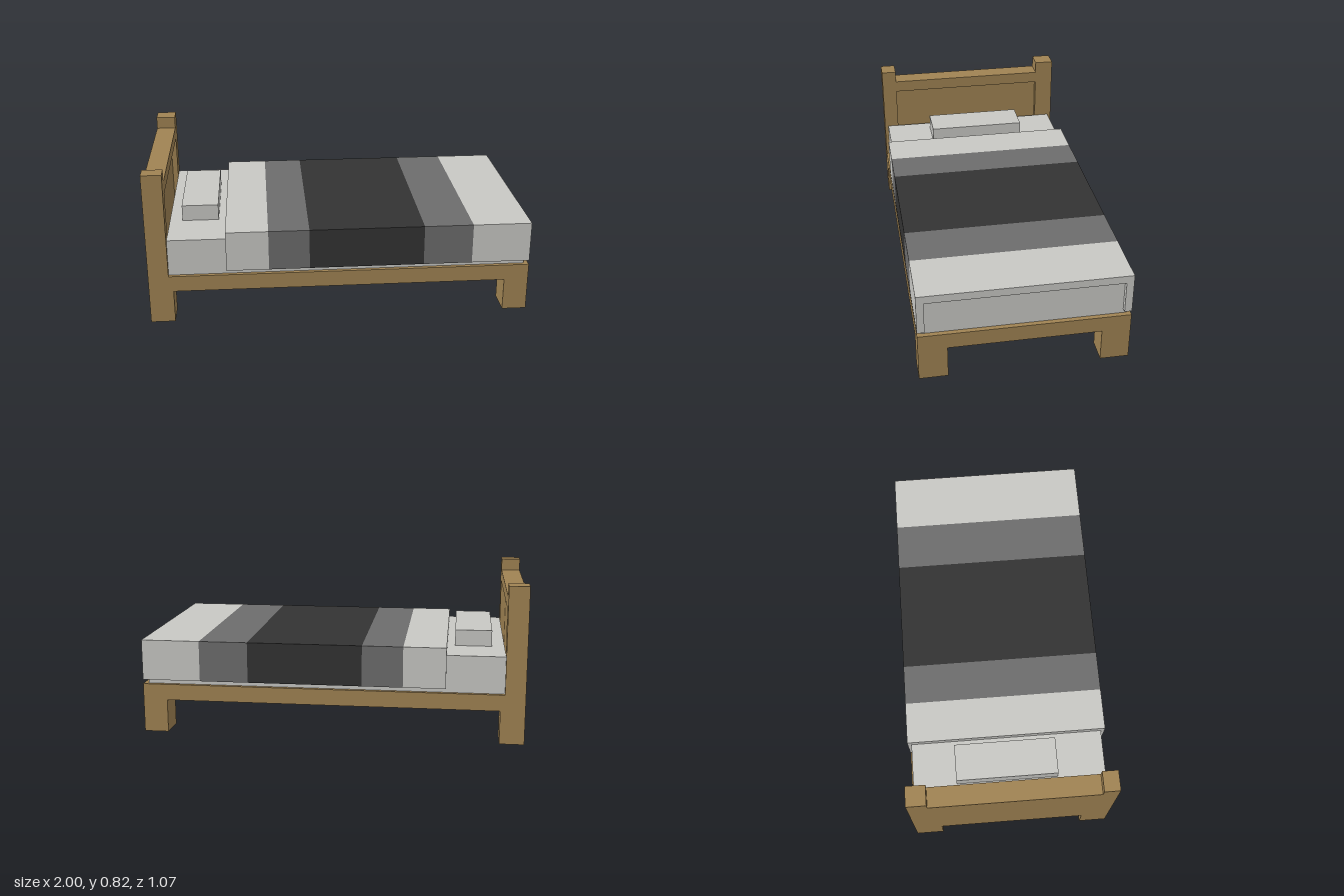
import * as THREE from 'three';

const mat = (name, color) => new THREE.MeshStandardMaterial({ name, color });

export function createModel() {
  const wood = mat('oak wood', 0xa08353);
  const linen = mat('pale linen', 0xc8c8c4);
  const grey = mat('mid grey cloth', 0x6d6d6d);
  const dark = mat('charcoal cloth', 0x333333);

  const bed = new THREE.Group();
  bed.name = 'bed';

  // Box given by its minimum and maximum on each axis
  const box = (name, material, [x0, x1], [y0, y1], [z0, z1]) => {
    const mesh = new THREE.Mesh(new THREE.BoxGeometry(x1 - x0, y1 - y0, z1 - z0), material);
    mesh.position.set((x0 + x1) / 2, (y0 + y1) / 2, (z0 + z1) / 2);
    mesh.name = name;
    bed.add(mesh);
  };

  const W = 0.535; // half width of the bed

  // Base slab and four square legs
  box('bedBase', wood, [-1, 1], [0.175, 0.26], [-W, W]);
  for (const [end, x] of [['head', [-1, -0.873]], ['foot', [0.872, 1]]]) {
    box(end + 'LegLeft', wood, x, [0, 0.175], [0.388, W]);
    box(end + 'LegRight', wood, x, [0, 0.175], [-W, -0.388]);
  }

  // Headboard: two posts, a top rail and a recessed panel
  const head = [-1, -0.895];
  box('headPostFront', wood, head, [0.26, 0.82], [0.452, W]);
  box('headPostBack', wood, head, [0.26, 0.82], [-W, -0.431]);
  box('headRail', wood, head, [0.69, 0.755], [-0.431, 0.452]);
  box('headPanel', wood, [-1, -0.925], [0.26, 0.69], [-0.431, 0.452]);

  // Mattress and pillow
  box('mattress', linen, [-0.895, 0.975], [0.26, 0.455], [-0.515, 0.515]);
  box('pillow', linen, [-0.828, -0.635], [0.455, 0.54], [-0.283, 0.257]);

  // Blanket: a U-shaped section draped over the mattress, in striped lengths
  const section = new THREE.Shape([
    [-W, 0.283], [-0.497, 0.283], [-0.497, 0.455], [0.497, 0.455],
    [0.497, 0.283], [W, 0.283], [W, 0.497], [-W, 0.497],
  ].map(([x, y]) => new THREE.Vector2(x, y)));
  const stripes = [
    ['blanketFold', linen, -0.595, -0.375],
    ['blanketUpperStripe', grey, -0.375, -0.163],
    ['blanketCentre', dark, -0.163, 0.436],
    ['blanketLowerStripe', grey, 0.436, 0.692],
    ['blanketFoot', linen, 0.692, 1],
  ];
  for (const [name, material, x0, x1] of stripes) {
    const geometry = new THREE.ExtrudeGeometry(section, { depth: x1 - x0, bevelEnabled: false });
    geometry.rotateY(Math.PI / 2);
    const mesh = new THREE.Mesh(geometry, material);
    mesh.position.x = x0;
    mesh.name = name;
    bed.add(mesh);
  }

  return bed;
}
